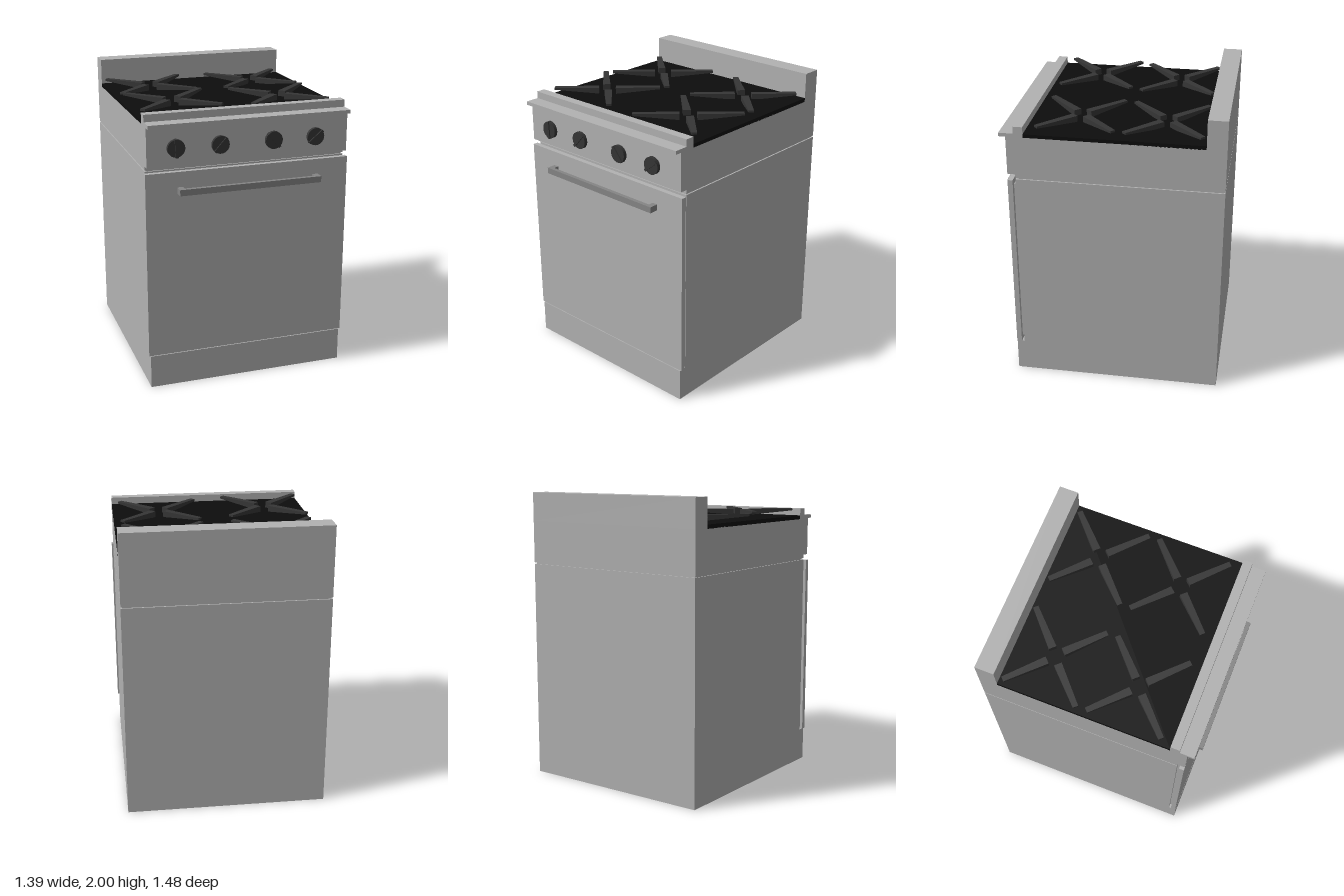
import * as THREE from 'three';

function material(name, color) {
  const m = new THREE.MeshStandardMaterial({ color });
  m.name = name;
  return m;
}

export function createModel() {
  const steel = material('brushed steel', 0xb2b2b2);
  const handleMetal = material('handle metal', 0x868686);
  const darkGrey = material('dark grey iron', 0x363636);
  const black = material('black enamel', 0x0d0d0d);

  const range = new THREE.Group();
  range.name = 'cookerRange';

  // Box given by its limits on each axis
  function box(name, mat, x0, x1, y0, y1, z0, z1, parent = range) {
    const mesh = new THREE.Mesh(new THREE.BoxGeometry(x1 - x0, y1 - y0, z1 - z0), mat);
    mesh.position.set((x0 + x1) / 2, (y0 + y1) / 2, (z0 + z1) / 2);
    mesh.name = name;
    parent.add(mesh);
    return mesh;
  }
  const W = 0.685, BACK = -0.737, RECESS = 0.628, FRONT = 0.68;

  // Lower cabinet, kick panel and the shadow gap above
  box('ovenBody', steel, -W, W, 0, 1.505, BACK, RECESS);
  box('kickPanel', steel, -W, W, 0, 0.228, RECESS, FRONT);
  box('shadowGap', steel, -W + 0.01, W - 0.01, 1.505, 1.515, BACK + 0.01, RECESS - 0.01);

  // Upper cabinet with control panel and splashback
  box('upperBody', steel, -W, W, 1.515, 1.803, BACK, RECESS);
  box('controlPanel', steel, -W, W, 1.54, 1.803, RECESS, FRONT);
  box('splashback', steel, -W, W, 1.803, 2, BACK, -0.607);
  box('frontLedge', steel, -W, W, 1.803, 1.827, RECESS, 0.725);
  box('frontRidge', steel, -W, W, 1.803, 1.875, 0.565, RECESS);
  box('cooktop', black, -W, W, 1.8, 1.827, -0.607, 0.565);

  // Oven door with its seal
  box('doorSeal', steel, -0.665, 0.665, 0.267, 1.462, RECESS, 0.645);
  box('ovenDoor', steel, -0.696, 0.696, 0.232, 1.5, 0.645, 0.679);

  // Door handle
  const handle = new THREE.Group();
  handle.name = 'doorHandle';
  range.add(handle);
  box('handleBar', handleMetal, -0.485, 0.485, 1.357, 1.398, 0.715, 0.742, handle);
  for (const s of [-1, 1]) {
    const x = s * 0.466;
    box('handlePost', handleMetal, x - 0.019, x + 0.019, 1.357, 1.398, 0.679, 0.715, handle);
  }

  // Control knobs, each with a turned grip
  const knobs = [[-0.495, 3], [-0.2, -42], [0.163, 40], [0.455, -50]];
  for (const [x, angle] of knobs) {
    const knob = new THREE.Group();
    knob.name = 'controlKnob';
    knob.position.set(x, 1.66, FRONT);
    knob.rotation.z = THREE.MathUtils.degToRad(angle);
    const dial = new THREE.Mesh(new THREE.CylinderGeometry(0.058, 0.058, 0.024, 32), darkGrey);
    dial.rotation.x = Math.PI / 2;
    dial.position.z = 0.012;
    dial.name = 'knobDial';
    knob.add(dial);
    box('knobGrip', darkGrey, -0.009, 0.009, -0.06, 0.06, 0, 0.033, knob);
    range.add(knob);
  }

  // Grate arm: flat on top, wider and deeper at the burner end
  const inner = new THREE.Vector2(0.045, 0.037), outer = new THREE.Vector2(0.267, 0.25);
  const length = inner.distanceTo(outer);
  const armGeometry = new THREE.BoxGeometry(length, 1, 1);
  const p = armGeometry.attributes.position;
  for (let i = 0; i < p.count; i++) {
    const atBurner = p.getX(i) < 0;
    p.setY(i, p.getY(i) > 0 ? 0 : atBurner ? -0.042 : -0.014);
    p.setZ(i, p.getZ(i) * (atBurner ? 0.052 : 0.036));
  }
  armGeometry.computeVertexNormals();

  // Four grates of four arms
  const grates = [
    [-0.388, 0.243, 1.88], [0.362, 0.243, 1.867],
    [-0.388, -0.328, 1.867], [0.362, -0.328, 1.862],
  ];
  for (const [gx, gz, top] of grates) {
    const grate = new THREE.Group();
    grate.name = 'burnerGrate';
    grate.position.set(gx, top, gz);
    for (const sx of [-1, 1]) for (const sz of [-1, 1]) {
      const arm = new THREE.Mesh(armGeometry, darkGrey);
      arm.name = 'grateArm';
      arm.position.set(sx * (inner.x + outer.x) / 2, 0, sz * (inner.y + outer.y) / 2);
      arm.rotation.y = Math.atan2(-sz * (outer.y - inner.y), sx * (outer.x - inner.x));
      grate.add(arm);
    }
    range.add(grate);
  }
  return range;
}
